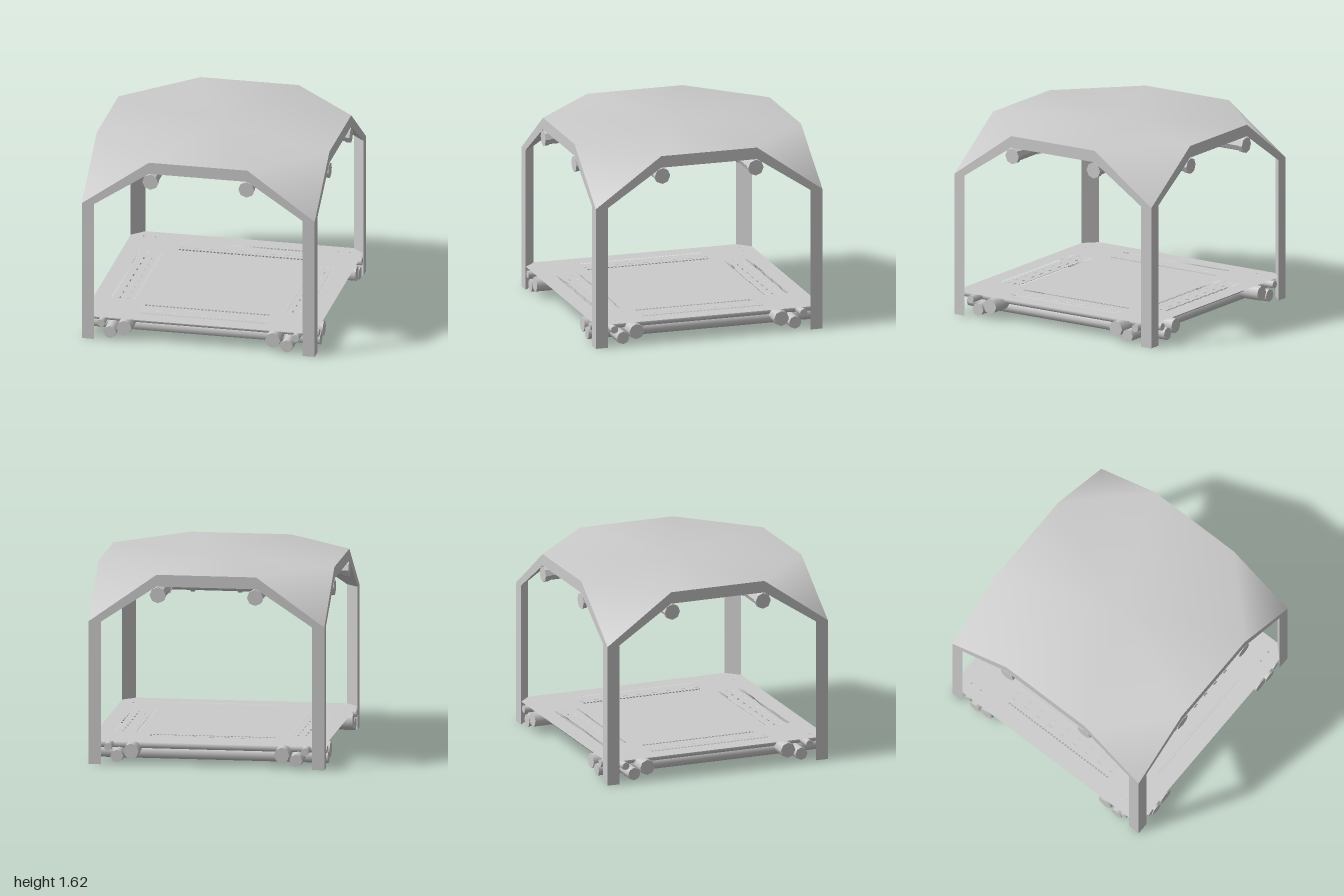
import * as THREE from 'three';

const W = 0.994;          // half width of the canopy
const LEG = 0.105;        // leg width
const K = 0.42;           // half length of the flat top edge
const TOP = 1.62, CEIL = 1.52, EAVE = 1.21;

const smooth = new THREE.MeshStandardMaterial({ color: 0xcccccc });
const faceted = new THREE.MeshStandardMaterial({ color: 0xcccccc, flatShading: true });
const thin = new THREE.MeshStandardMaterial({ color: 0xcccccc, side: THREE.DoubleSide });

function mesh(name, geometry, material = smooth) {
  const m = new THREE.Mesh(geometry, material);
  m.name = name;
  return m;
}

function surface(points, index) {
  const g = new THREE.BufferGeometry();
  g.setAttribute('position', new THREE.Float32BufferAttribute(points.flat(), 3));
  g.setIndex(index);
  g.computeVertexNormals();
  return g;
}

// Eight corners of the flat roof area, counter-clockwise from above
function octagon(y) {
  return [[K, W], [W, K], [W, -K], [K, -W], [-K, -W], [-W, -K], [-W, K], [-K, W]]
    .map(([x, z]) => [x, y, z]);
}

// Smooth roof: flat octagon with four corners pulled down
function roof() {
  const points = [[0, TOP, 0], ...octagon(TOP)];
  const index = [];
  for (let i = 0; i < 8; i++) index.push(0, i + 1, (i + 1) % 8 + 1);
  [[W, W], [W, -W], [-W, -W], [-W, W]].forEach(([x, z], i) => {
    points.push([x, EAVE, z]);
    index.push(2 * i + 1, 9 + i, 2 * i + 2);
  });
  return surface(points, index);
}

function ceiling() {
  const index = [];
  for (let i = 0; i < 8; i++) index.push(0, (i + 1) % 8 + 1, i + 1);
  return surface([[0, CEIL, 0], ...octagon(CEIL)], index);
}

// One side of the canopy: arch face, corner underside and inner leg face
function archSide() {
  const g = new THREE.Group();
  const I = W - LEG;
  const outline = [[-W, 0], [-I, 0], [-I, EAVE], [-K, CEIL], [K, CEIL], [I, EAVE], [I, 0],
    [W, 0], [W, EAVE], [K, TOP], [-K, TOP], [-W, EAVE]];
  const arch = new THREE.ShapeGeometry(new THREE.Shape(outline.map(p => new THREE.Vector2(...p))));
  arch.translate(0, 0, W);
  const quad = [0, 1, 2, 0, 2, 3];
  g.add(
    mesh('archFace', arch),
    mesh('cornerUnderside', surface([[I, EAVE, W], [K, CEIL, W], [W, CEIL, K], [W, EAVE, I]], quad)),
    mesh('legInside', surface([[I, EAVE, W], [W, EAVE, I], [W, 0, I], [I, 0, W]], quad)),
    mesh('legFoot', surface([[I, 0, W], [W, 0, I], [W, 0, W]], [0, 1, 2])),
  );
  return g;
}

// Eight-sided bar lying along z
function bar(name, radius, length, x, y, z = 0, material = smooth) {
  const g = new THREE.CylinderGeometry(radius, radius, length, 8);
  g.rotateX(Math.PI / 2);
  const m = mesh(name, g, material);
  m.position.set(x, y, z);
  return m;
}

// Thin floor plate, cut off at the legs, with rows of slots along its sides
function floorPlate() {
  const H = W - 0.002, C = H - LEG;
  const outline = [[-C, -H], [C, -H], [H, -C], [H, C], [C, H], [-C, H], [-H, C], [-H, -C]];
  const shape = new THREE.Shape(outline.map(p => new THREE.Vector2(...p)));
  const slot = (x, y, w, h) => {
    const path = new THREE.Path();
    path.moveTo(x - w, y - h).lineTo(x - w, y + h).lineTo(x + w, y + h).lineTo(x + w, y - h).closePath();
    shape.holes.push(path);
  };
  const rows = [[0.645, 36, 0.009, 0.014], [0.705, 9, 0.02, 0.006],
    [0.77, 9, 0.02, 0.006], [0.83, 36, 0.009, 0.014]];
  for (const s of [-1, 1]) {
    for (const [d, n, w, h] of rows) {
      for (let i = 0; i < n; i++) {
        const t = -0.52 + 1.04 * i / (n - 1);
        slot(t, s * d, w, h);
        slot(s * d, t, h, w);
      }
    }
    // Bolt holes in the corners
    for (const r of [-1, 1]) {
      for (const [a, b] of [[0.88, 0.88], [0.88, 0.78], [0.78, 0.88]]) slot(s * a, r * b, 0.006, 0.006);
    }
  }
  const g = new THREE.ShapeGeometry(shape);
  g.rotateX(-Math.PI / 2).translate(0, 0.2, 0);
  return mesh('floorPlate', g, thin);
}

export function createModel() {
  const model = new THREE.Group();
  model.name = 'canopyShelter';

  const canopy = new THREE.Group();
  canopy.name = 'canopy';
  canopy.add(mesh('roof', roof()), mesh('ceiling', ceiling()));
  for (let i = 0; i < 4; i++) {
    const side = archSide();
    side.name = 'archSide';
    side.rotation.y = i * Math.PI / 2;
    canopy.add(side);
  }
  model.add(canopy);

  // Crossing bars under the ceiling and under the floor
  for (let turn = 0; turn < 2; turn++) {
    const frame = new THREE.Group();
    frame.name = 'barFrame';
    frame.rotation.y = turn * Math.PI / 2;
    for (const s of [-1, 1]) {
      const x = s * 0.41, y = 1.447;
      frame.add(bar('ceilingBar', 0.057, 1.98, x, y, 0, faceted));
      for (const z of [-0.6, -0.2, 0.2, 0.6]) frame.add(bar('barClamp', 0.069, 0.034, x, y, z, faceted));
      for (const e of [-1, 1]) frame.add(bar('barCap', 0.068, 0.04, x, y, e * 0.976, faceted));
      frame.add(
        bar('innerFloorBar', 0.065, 1.992, s * 0.635, 0.118),
        bar('lowerFloorBar', 0.054, 1.992, s * 0.755, 0.074),
        bar('outerFloorBar', 0.033, 1.992, s * 0.83, 0.15),
      );
    }
    model.add(frame);
  }
  model.add(floorPlate());
  return model;
}
